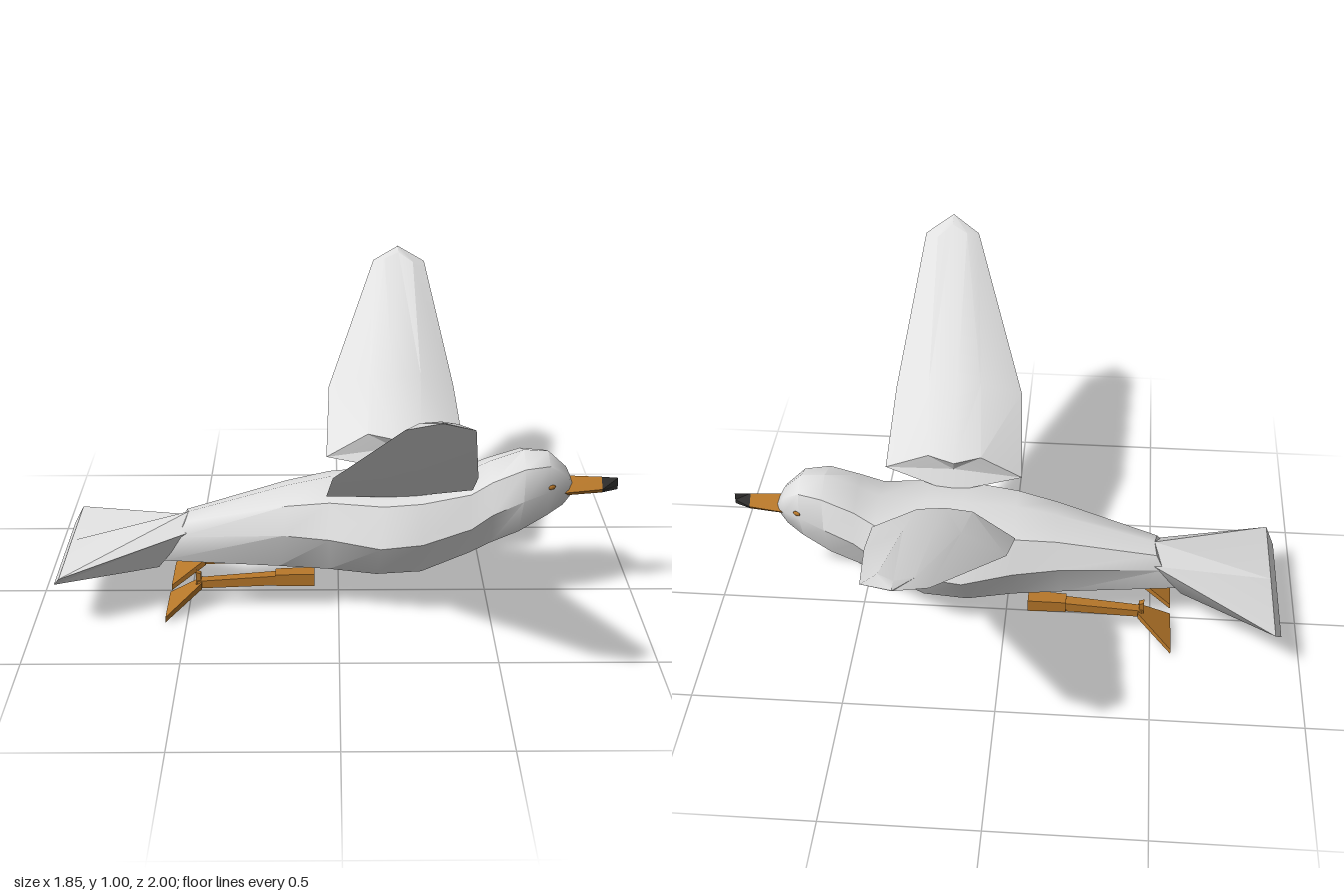
import * as THREE from 'three';
import { toCreasedNormals } from 'three/addons/utils/BufferGeometryUtils.js';

const white = new THREE.MeshStandardMaterial({ color: 0xe0e0e0 });
white.name = 'white plumage';
const orange = new THREE.MeshStandardMaterial({ color: 0xb8782a });
orange.name = 'orange';
const black = new THREE.MeshStandardMaterial({ color: 0x2e2d2c });
black.name = 'black';

const CZ = 0.03; // centre line of the body

// Skin a list of closed rings, cap both ends and make the faces point outward
function loft(name, rings, material, crease) {
  const n = rings[0].length;
  const tris = [];
  for (let r = 0; r < rings.length - 1; r++) {
    const a = rings[r], b = rings[r + 1];
    for (let i = 0; i < n; i++) {
      const j = (i + 1) % n;
      tris.push([a[i], a[j], b[i]], [a[j], b[j], b[i]]);
    }
  }
  const middle = (ring) => [0, 1, 2].map((k) => ring.reduce((s, p) => s + p[k], 0) / n);
  const first = rings[0], last = rings[rings.length - 1];
  const c0 = middle(first), c1 = middle(last);
  for (let i = 0; i < n; i++) {
    const j = (i + 1) % n;
    tris.push([c0, first[j], first[i]], [c1, last[i], last[j]]);
  }
  const vec = (p) => new THREE.Vector3(...p);
  const volume = tris.reduce((s, [a, b, c]) => s + vec(a).dot(vec(b).cross(vec(c))), 0);
  if (volume < 0) tris.forEach((t) => t.reverse());
  const geo = new THREE.BufferGeometry();
  geo.setAttribute('position', new THREE.Float32BufferAttribute(tris.flat(2), 3));
  const mesh = new THREE.Mesh(toCreasedNormals(geo, crease), material);
  mesh.name = name;
  return mesh;
}

// Body ring: top, shoulder, flank, belly edge, keel, then mirrored
function bodyRing([xt, xb, yt, yb, w, ym]) {
  const half = [
    [0, yt],
    [0.72 * w, ym + 0.75 * (yt - ym)],
    [w, ym],
    [0.68 * w, ym + 0.8 * (yb - ym)],
    [0, yb],
  ];
  const x = (y) => xb + ((xt - xb) * (y - yb)) / (yt - yb);
  const left = half.map(([z, y]) => [x(y), y, CZ + z]);
  const right = half.slice(1, 4).reverse().map(([z, y]) => [x(y), y, CZ - z]);
  return [...left, ...right];
}

// Rectangular ring across the x axis
const rect = (x, y, z, hy, hz) => [
  [x, y + hy, z - hz], [x, y + hy, z + hz], [x, y - hy, z + hz], [x, y - hy, z - hz],
];

function makeBody() {
  // front x at top, x at bottom, top y, bottom y, half width, widest y
  const stations = [
    [-0.5, -0.6, 0.31, 0.13, 0.075, 0.25],
    [-0.17, -0.2, 0.405, 0.125, 0.15, 0.29],
    [-0.03, -0.03, 0.435, 0.125, 0.185, 0.29],
    [0.15, 0.12, 0.44, 0.125, 0.235, 0.28],
    [0.27, 0.27, 0.445, 0.13, 0.225, 0.29],
    [0.43, 0.43, 0.455, 0.185, 0.17, 0.32],
    [0.5, 0.5, 0.49, 0.212, 0.148, 0.36],
    [0.61, 0.59, 0.53, 0.245, 0.132, 0.4],
    [0.69, 0.685, 0.525, 0.3, 0.1, 0.42],
    [0.75, 0.74, 0.47, 0.335, 0.058, 0.41],
    [0.775, 0.77, 0.42, 0.375, 0.03, 0.4],
  ];
  return loft('body', stations.map(bodyRing), white, 0.75);
}

function makeTail() {
  const ring = (xt, yt, ye, wt, xb, yb, wb) => [
    [xt, yt, 0], [xt, ye, wt], [xb, yb, wb], [xb, yb, 0], [xb, yb, -wb], [xt, ye, -wt],
  ];
  const end = ring(-0.9, 0.192, 0.19, 0.285, -0.925, 0.148, 0.24);
  const root = ring(-0.5, 0.31, 0.265, 0.075, -0.6, 0.13, 0.052)
    .map(([x, y, z]) => [x, y, z + CZ]);
  return loft('tail', [end.map(([x, y, z]) => [x, y, z + 0.005]), root], white, 0.4);
}

// Wing: points are [x, span fraction, height above the flat underside]
function makeWing(name, side, base, span, rise, sweep) {
  const sections = [
    [[-0.04, 0, 0.01], [0.1, -0.02, 0.11], [0.19, -0.05, 0.115], [0.28, -0.02, 0.11],
      [0.43, 0, 0.03], [0.2, -0.07, 0.02]],
    [[-0.02, 0.32, 0], [0.12, 0.28, 0.075], [0.2, 0.25, 0.09], [0.3, 0.28, 0.075],
      [0.42, 0.32, 0], [0.2, 0.32, 0]],
    [[0.17, 0.93, 0], [0.21, 0.9, 0.028], [0.265, 0.94, 0.022], [0.315, 0.88, 0.03],
      [0.36, 0.925, 0], [0.265, 0.93, 0]],
    [[0.262, 1, 0], [0.263, 1, 0.002], [0.265, 1, 0.003], [0.267, 1, 0.002],
      [0.268, 1, 0], [0.265, 1, 0]],
  ];
  const place = ([x, s, t]) => [x + sweep * s, 0.425 + rise * s + t, side * (base + span * s)];
  return loft(name, sections.map((ring) => ring.map(place)), white, 0.45);
}

function makeBeak() {
  const beak = new THREE.Group();
  beak.name = 'beak';
  const ring = (x, top, bottom, w) => [
    [x, top, CZ + 0.005], [x, bottom + 0.015, CZ + 0.005 + w], [x, bottom, CZ + 0.005 + w * 0.7],
    [x, bottom, CZ + 0.005 - w * 0.7], [x, bottom + 0.015, CZ + 0.005 - w],
  ];
  const joint = ring(0.87, 0.434, 0.388, 0.034);
  beak.add(
    loft('bill', [ring(0.73, 0.44, 0.382, 0.052), joint], orange, 0.3),
    loft('billTip', [joint, ring(0.925, 0.43, 0.39, 0.002)], black, 0.3),
  );
  return beak;
}

function makeLeg(name, side) {
  const leg = new THREE.Group();
  leg.name = name;
  const z = 0.02 + side * 0.09;
  const footZ = 0.022 + side * 0.115;
  leg.add(
    loft('thigh', [rect(-0.21, 0.105, z, 0.02, 0.024), rect(-0.08, 0.107, z, 0.022, 0.028)], orange, 0.3),
    loft('shin', [rect(-0.47, 0.085, z, 0.013, 0.016), rect(-0.2, 0.102, z, 0.017, 0.02)], orange, 0.3),
    loft('backToe', [rect(-0.475, 0.105, z, 0.024, 0.01), rect(-0.458, 0.1, z, 0.022, 0.01)], orange, 0.3),
    // webbed foot trailing behind, spreading toward its end
    loft('foot', [rect(-0.57, 0.009, footZ, 0.009, 0.092), rect(-0.455, 0.085, z, 0.011, 0.026)], orange, 0.3),
  );
  return leg;
}

function makeEye(name, side) {
  const eye = new THREE.Mesh(new THREE.SphereGeometry(0.013, 10, 6), orange);
  eye.name = name;
  eye.scale.set(1.1, 0.6, 0.4);
  eye.position.set(0.695, 0.435, CZ + side * 0.094);
  eye.rotation.y = side * 0.5;
  return eye;
}

export function createModel() {
  const bird = new THREE.Group();
  bird.name = 'seabird';
  bird.add(
    makeBody(),
    makeTail(),
    makeBeak(),
    makeWing('nearWing', 1, 0.19, 0.81, 0.575, 0),
    makeWing('farWing', -1, 0.14, 0.86, 0.515, -0.035),
    makeLeg('nearLeg', 1),
    makeLeg('farLeg', -1),
    makeEye('nearEye', 1),
    makeEye('farEye', -1),
  );
  return bird;
}
